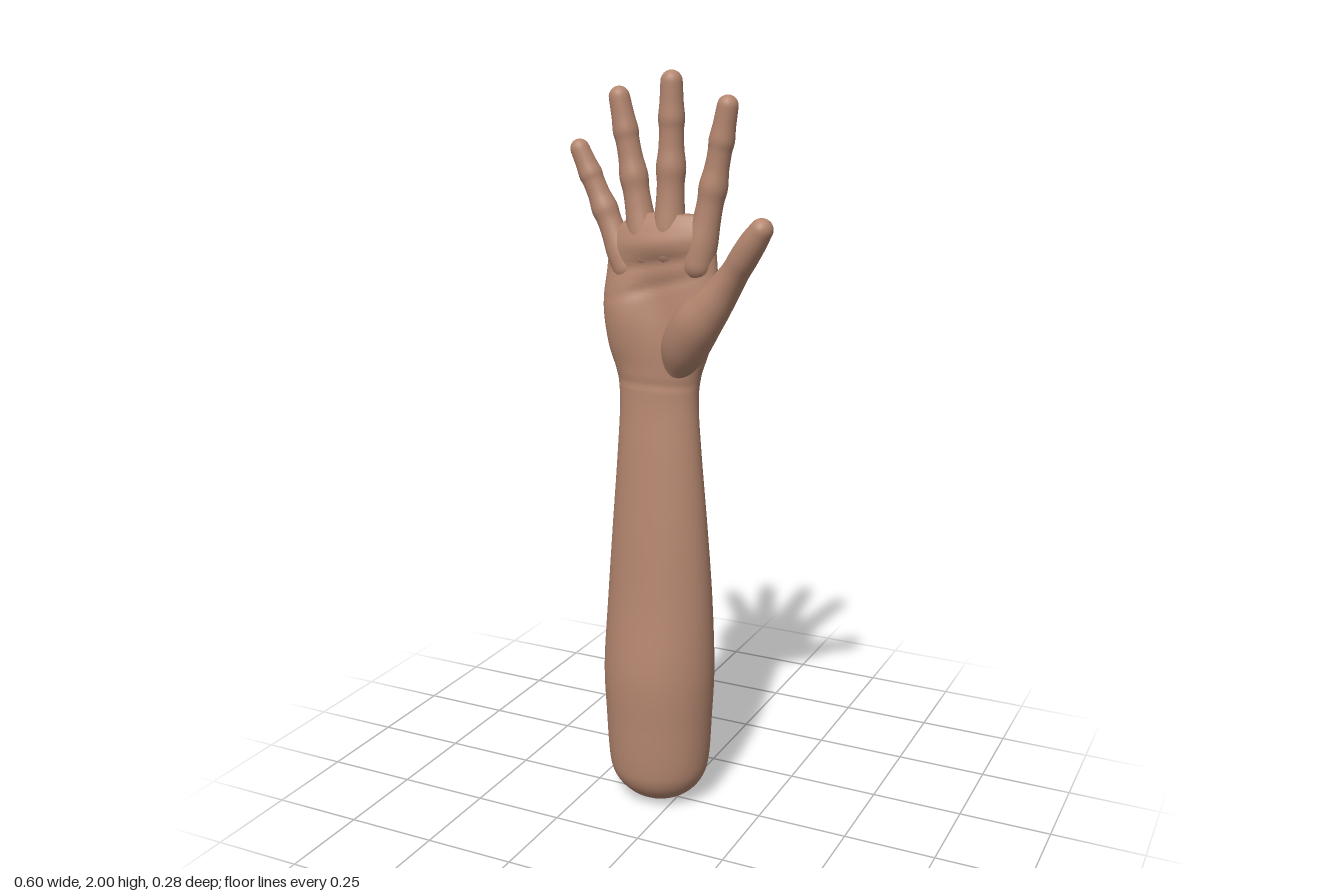
import * as THREE from 'three';

const skin = new THREE.MeshStandardMaterial({ color: 0xb4866f });
skin.name = 'skin';

// Smoothly interpolate rows of numbers, giving `steps` rows between each pair
function refine(rows, steps) {
  const size = rows[0].length;
  const spline = new THREE.CubicInterpolant(rows.map((_, i) => i), rows.flat(), size, new Float32Array(size));
  const out = [];
  for (let i = 0; i <= (rows.length - 1) * steps; i++) out.push(Array.from(spline.evaluate(i / steps)));
  return out;
}

// Closed smooth skin over a stack of rings (arrays of Vector3), capped at both ends
function skinRings(rings, name) {
  const n = rings[0].length, pos = [], index = [];
  const put = (p) => pos.push(p.x, p.y, p.z);
  rings.forEach((ring) => ring.forEach(put));
  const ends = [rings[0], rings[rings.length - 1]];
  ends.forEach((ring) => put(ring.reduce((s, p) => s.add(p), new THREE.Vector3()).divideScalar(n)));
  const first = rings.length * n, last = first + 1, top = (rings.length - 1) * n;
  for (let i = 0; i < n; i++) {
    const k = (i + 1) % n;
    for (let j = 0; j < rings.length - 1; j++) {
      const a = j * n + i, b = j * n + k;
      index.push(a, b, a + n, b, b + n, a + n);
    }
    index.push(first, k, i, last, top + i, top + k);
  }
  const geometry = new THREE.BufferGeometry();
  geometry.setAttribute('position', new THREE.Float32BufferAttribute(pos, 3));
  geometry.setIndex(index);
  geometry.computeVertexNormals();
  const mesh = new THREE.Mesh(geometry, skin);
  mesh.name = name;
  return mesh;
}

// Rounded digit through rows of [x, y, z, half width, half depth]
function digit(name, keys, sides = 24) {
  const rows = refine(keys, 6);
  const at = (r) => new THREE.Vector3(r[0], r[1], r[2]);
  const rings = [];
  const addRing = (r, t, shift, scale) => {
    const u = new THREE.Vector3(0, 0, 1).addScaledVector(t, -t.z).normalize();
    const v = new THREE.Vector3().crossVectors(t, u);
    const centre = at(r).addScaledVector(t, shift);
    rings.push(Array.from({ length: sides }, (_, i) => {
      const a = (i / sides) * Math.PI * 2;
      return centre.clone().addScaledVector(u, Math.cos(a) * r[4] * scale).addScaledVector(v, Math.sin(a) * r[3] * scale);
    }));
  };
  const end = rows.length - 1;
  const cap = [0.26, 0.52, 0.79, 1.05, 1.31, 1.5];
  rows.forEach((r, i) => {
    const t = at(rows[Math.min(i + 1, end)]).sub(at(rows[Math.max(i - 1, 0)])).normalize();
    if (i === 0) [...cap].reverse().forEach((a) => addRing(r, t, -Math.sin(a) * r[3], Math.cos(a)));
    addRing(r, t, 0, 1);
    if (i === end) cap.forEach((a) => addRing(r, t, Math.sin(a) * r[3], Math.cos(a)));
  });
  return skinRings(rings, name);
}

// Straight finger with thicker joints; base and tip are [x, y]
const jointProfile = [
  [0, 1.36], [0.14, 1.36], [0.28, 1.2], [0.4, 1.14], [0.5, 1.24], [0.61, 1.06],
  [0.72, 1.02], [0.79, 1.1], [0.88, 0.98], [1, 0.9],
];
function finger({ name, base, tip, r }) {
  return digit(name, jointProfile.map(([t, f]) => [
    base[0] + (tip[0] - base[0]) * t, base[1] + (tip[1] - base[1]) * t,
    -0.006 * Math.sin(t * Math.PI), r * f, r * f * 0.98,
  ]));
}

const fingers = [
  { name: 'littleFinger', base: [-0.145, 1.50], tip: [-0.278, 1.798], r: 0.028 },
  { name: 'ringFinger', base: [-0.09, 1.54], tip: [-0.162, 1.930], r: 0.030 },
  { name: 'middleFinger', base: [-0.025, 1.55], tip: [-0.016, 1.970], r: 0.031 },
  { name: 'indexFinger', base: [0.057, 1.52], tip: [0.136, 1.914], r: 0.030 },
];

// Arm sections: [y, x min, x max, z back, z front, squareness]
const armSections = [
  [0.001, -0.072, -0.042, -0.014, 0.014, 2],
  [0.012, -0.117, 0.003, -0.055, 0.055, 2],
  [0.037, -0.157, 0.043, -0.090, 0.090, 2],
  [0.076, -0.187, 0.072, -0.116, 0.116, 2],
  [0.13, -0.200, 0.086, -0.128, 0.126, 2],
  [0.25, -0.208, 0.093, -0.135, 0.130, 2],
  [0.40, -0.214, 0.099, -0.139, 0.131, 2],
  [0.60, -0.204, 0.093, -0.121, 0.108, 2],
  [0.80, -0.190, 0.080, -0.102, 0.090, 2],
  [1.00, -0.176, 0.063, -0.085, 0.070, 2],
  [1.14, -0.169, 0.053, -0.073, 0.054, 2.1],
  [1.22, -0.175, 0.060, -0.066, 0.050, 2.2],
  [1.30, -0.198, 0.088, -0.056, 0.050, 2.3],
  [1.40, -0.211, 0.112, -0.048, 0.046, 2.4],
  [1.48, -0.204, 0.110, -0.047, 0.038, 2.4],
  [1.56, -0.190, 0.103, -0.049, 0.038, 2.4],
  [1.61, -0.162, 0.096, -0.042, 0.034, 2.3],
  [1.645, -0.105, 0.072, -0.020, 0.020, 2],
];

const bump = (d, width) => Math.exp(-(d * d) / (width * width));

// Raised and sunken detail on the hand, as a change in z
function handRelief(x, y, front) {
  const fade = THREE.MathUtils.smoothstep(y, 1.18, 1.3);
  if (front) {
    const pads = 0.010 * bump(y - 1.575 - 0.1 * x, 0.03) * bump(x + 0.04, 0.13);
    const heel = 0.016 * bump(x + 0.14, 0.06) * bump(y - 1.37, 0.1);
    const creases = -0.006 * (bump(y - 1.53 - 0.2 * x, 0.012) + bump(y - 1.475 - 0.3 * x, 0.012)) * bump(x + 0.05, 0.12);
    const hollow = -0.010 * bump(x + 0.05, 0.05) * bump(y - 1.43, 0.07);
    return fade * (pads + heel + creases + hollow) - 0.003 * bump(y - 1.205, 0.01);
  }
  let z = 0;
  fingers.forEach(({ base }) => {
    z -= 0.011 * bump(x - base[0], 0.026) * bump(y - base[1] - 0.035, 0.03);
    const tendonX = THREE.MathUtils.mapLinear(y, 1.2, base[1], -0.05, base[0]);
    z -= 0.004 * fade * bump(x - tendonX, 0.014) * bump(y - 1.44, 0.12);
  });
  return z;
}

// Forearm, wrist and palm in one continuous skin
function forearmAndPalm(sides = 72) {
  const rings = refine(armSections, 8).map(([y, x0, x1, z0, z1, power]) =>
    Array.from({ length: sides }, (_, i) => {
      const a = (i / sides) * Math.PI * 2, c = Math.cos(a), s = Math.sin(a);
      const round = (w) => Math.sign(w) * Math.abs(w) ** (2 / power);
      const x = (x0 + x1) / 2 + round(s) * (x1 - x0) / 2;
      const z = (z0 + z1) / 2 + round(c) * (z1 - z0) / 2;
      return new THREE.Vector3(x, y, z + handRelief(x, y, c > 0) * Math.min(1, Math.abs(c) * 2));
    }));
  return skinRings(rings, 'forearmAndPalm');
}

export function createModel() {
  const group = new THREE.Group();
  group.name = 'raisedArm';
  group.add(forearmAndPalm());

  // Four fingers
  fingers.forEach((f) => group.add(finger(f)));

  // Thumb with the fleshy mound at its root
  group.add(digit('thumb', [
    [0.005, 1.25, 0.005, 0.042, 0.042],
    [0.035, 1.31, 0.033, 0.062, 0.054],
    [0.080, 1.375, 0.058, 0.063, 0.056],
    [0.122, 1.425, 0.066, 0.053, 0.050],
    [0.160, 1.475, 0.069, 0.043, 0.045],
    [0.195, 1.522, 0.080, 0.036, 0.038],
    [0.222, 1.560, 0.092, 0.036, 0.036],
    [0.250, 1.600, 0.101, 0.034, 0.034],
    [0.273, 1.632, 0.106, 0.029, 0.031],
  ], 32));

  // Small bone on the outer back of the wrist
  const bone = new THREE.Mesh(new THREE.SphereGeometry(1, 24, 16), skin);
  bone.name = 'wristBone';
  bone.scale.set(0.032, 0.042, 0.026);
  bone.position.set(-0.142, 1.145, -0.036);
  group.add(bone);
  return group;
}
